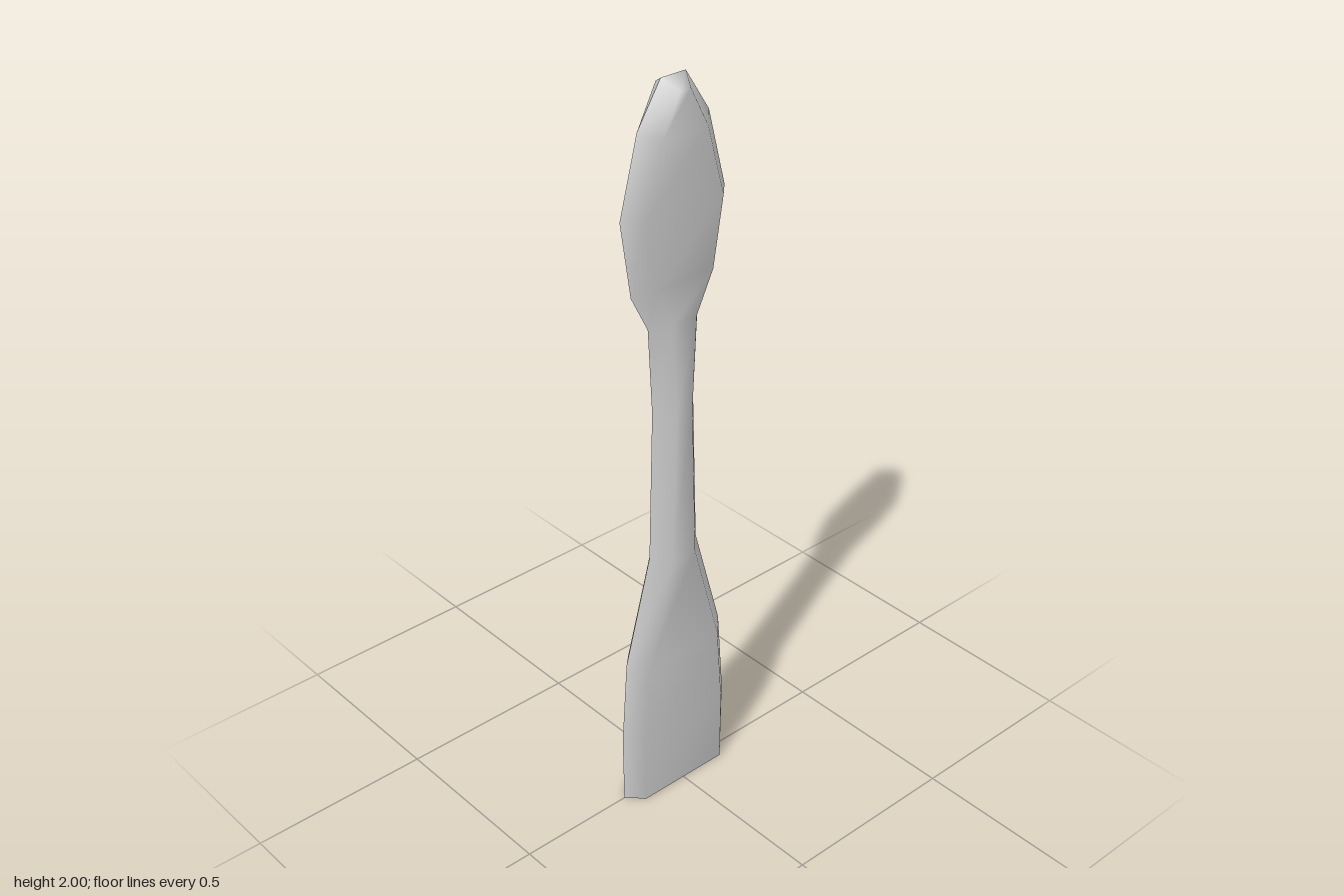
import * as THREE from 'three';

const T = 0.042; // half thickness of the blade

// Each row: outer ridge [y, front z, back z], then bevelled inner edge [y, half z]
const ROWS = [
  [0.00, 0.176, -0.172, 0.00, 0.134],
  [0.20, 0.178, -0.178, 0.20, 0.136],
  [0.44, 0.161, -0.160, 0.43, 0.119],
  [0.74, 0.080, -0.077, 0.73, 0.037],
  [1.16, 0.068, -0.065, 1.16, 0.025],
  [1.39, 0.080, -0.077, 1.405, 0.037],
  [1.49, 0.131, -0.127, 1.51, 0.088],
  [1.69, 0.161, -0.160, 1.69, 0.118],
  [1.89, 0.108, -0.108, 1.873, 0.068],
  [2.00, 0.037, -0.037, 1.975, 0.015],
];

// One half of the blade: a flat face with a bevel along both edges and the tip
function halfGeometry(side) {
  const pos = [], index = [];
  const quad = (a, b, c, d) => side > 0
    ? index.push(a, b, c, a, c, d)
    : index.push(a, c, b, a, d, c);
  for (const [y, zf, zb, yi, zi] of ROWS) {
    pos.push(0, y, zf, side * T, yi, zi, side * T, yi, -zi, 0, y, zb);
  }
  for (let r = 0; r < ROWS.length - 1; r++) {
    for (let c = 0; c < 3; c++) {
      const a = r * 4 + c;
      quad(a, a + 1, a + 5, a + 4);
    }
  }
  const t = (ROWS.length - 1) * 4;
  quad(t + 1, t + 2, t + 3, t); // bevelled tip
  const g = new THREE.BufferGeometry();
  g.setAttribute('position', new THREE.Float32BufferAttribute(pos, 3));
  g.setIndex(index);
  g.computeVertexNormals();
  return g;
}

export function createModel() {
  const group = new THREE.Group();
  group.name = 'paddle';
  const material = new THREE.MeshStandardMaterial({ color: 0xcccccc });
  const add = (name, geometry) => {
    const mesh = new THREE.Mesh(geometry, material);
    mesh.name = name;
    group.add(mesh);
  };

  add('leftHalf', halfGeometry(1));
  add('rightHalf', halfGeometry(-1));

  // Flat hexagonal foot
  const [, zf, zb, , zi] = ROWS[0];
  const foot = new THREE.Shape([
    [0, zb], [T, -zi], [T, zi], [0, zf], [-T, zi], [-T, -zi],
  ].map(([x, z]) => new THREE.Vector2(x, z)));
  add('foot', new THREE.ShapeGeometry(foot).rotateX(Math.PI / 2));

  return group;
}
